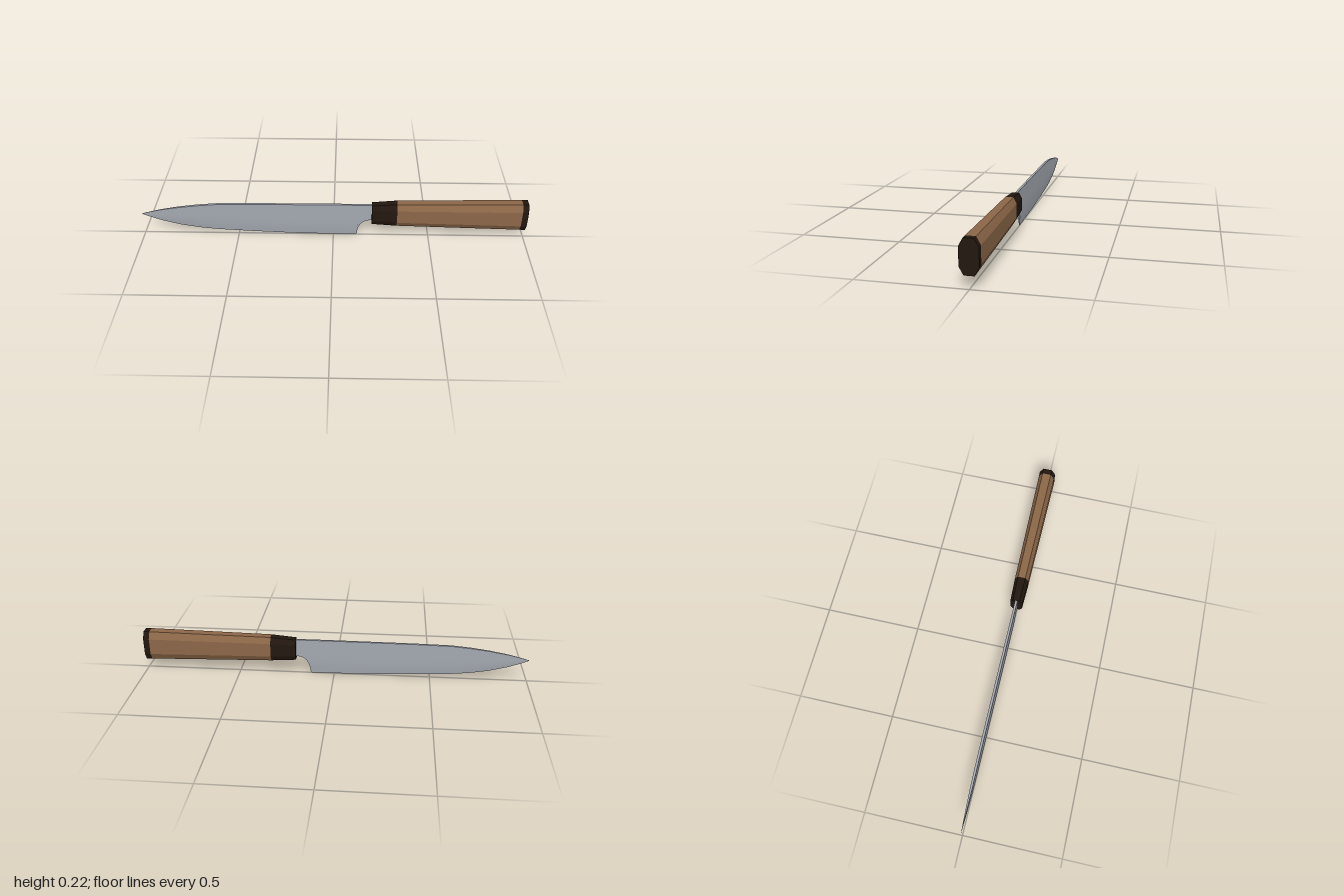
import * as THREE from 'three';
import { toCreasedNormals } from 'three/addons/utils/BufferGeometryUtils.js';

// Skin a row of closed rings (ordered from -x to +x) and cap both ends
function loft(rings) {
  const n = rings[0].length;
  const index = [];
  for (let i = 0; i < rings.length - 1; i++) {
    for (let j = 0; j < n; j++) {
      const k = (j + 1) % n;
      const a = i * n + j, b = i * n + k, c = b + n, d = a + n;
      index.push(a, d, c, a, c, b);
    }
  }
  const last = (rings.length - 1) * n;
  for (let j = 1; j < n - 1; j++) {
    index.push(0, j, j + 1, last, last + j + 1, last + j);
  }
  const geometry = new THREE.BufferGeometry();
  geometry.setAttribute('position', new THREE.Float32BufferAttribute(rings.flat(2), 3));
  geometry.setIndex(index);
  return toCreasedNormals(geometry, 0.45);
}

// Blade stations: x, spine height, lower outline, uncut edge height
const BLADE = [
  [-1.0, 0.12, 0.116, 0.116],
  [-0.96, 0.131, 0.099, 0.099],
  [-0.9, 0.146, 0.077, 0.077],
  [-0.8, 0.164, 0.05, 0.05],
  [-0.7, 0.177, 0.033, 0.033],
  [-0.6, 0.186, 0.023, 0.023],
  [-0.4, 0.189, 0.012, 0.012],
  [-0.2, 0.19, 0.004, 0.004],
  [0.0, 0.191, 0.001, 0.001],
  [0.118, 0.191, 0, 0],
  // rounded heel and finger notch
  [0.124, 0.191, 0.005, 0],
  [0.127, 0.191, 0.03, 0],
  [0.132, 0.191, 0.052, 0],
  [0.144, 0.191, 0.074, 0],
  [0.16, 0.191, 0.088, 0],
  [0.18, 0.191, 0.096, 0],
  [0.22, 0.191, 0.099, 0],
];

function bladeRing([x, spine, low, edge]) {
  const height = spine - edge;
  const thickness = 0.0062 * Math.min(1, height / 0.13);
  const side = [0, 0.12, 0.3, 0.6, 1].map((t) => {
    const y = low + (spine - low) * t;
    const bevel = Math.min(1, (y - edge) / (0.3 * height));
    return [x, y, Math.max(0.0002, thickness * bevel)];
  });
  return [...side, ...side.map(([px, y, z]) => [px, y, -z]).reverse()];
}

// Tall octagon for the handle: flat top, bottom and sides with long chamfers
function octagonRing(x, bottom, top, halfWidth) {
  const flat = halfWidth * 0.54;
  const chamfer = (top - bottom) * 0.23;
  const side = [
    [x, bottom, flat],
    [x, bottom + chamfer, halfWidth],
    [x, top - chamfer, halfWidth],
    [x, top, flat],
  ];
  return [...side, ...side.map(([px, y, z]) => [px, y, -z]).reverse()];
}

export function createModel() {
  const knife = new THREE.Group();
  knife.name = 'kitchenKnife';

  const steel = new THREE.MeshStandardMaterial({ color: 0xa3a8b0 });
  const wood = new THREE.MeshStandardMaterial({ color: 0x8b6647 });
  const darkWood = new THREE.MeshStandardMaterial({ color: 0x22170f });

  const add = (name, rings, material) => {
    const mesh = new THREE.Mesh(loft(rings), material);
    mesh.name = name;
    knife.add(mesh);
  };

  add('blade', BLADE.map(bladeRing), steel);

  // Handle grows gently from the ferrule to the butt
  const front = octagonRing(0.2, 0.081, 0.195, 0.032);
  const joint = octagonRing(0.33, 0.073, 0.206, 0.036);
  const capStart = octagonRing(0.97, 0.0588, 0.2155, 0.0425);
  const butt = octagonRing(1.0, 0.058, 0.216, 0.043);
  add('ferrule', [front, joint], darkWood);
  add('handle', [joint, capStart], wood);
  add('buttCap', [capStart, butt], darkWood);

  return knife;
}
